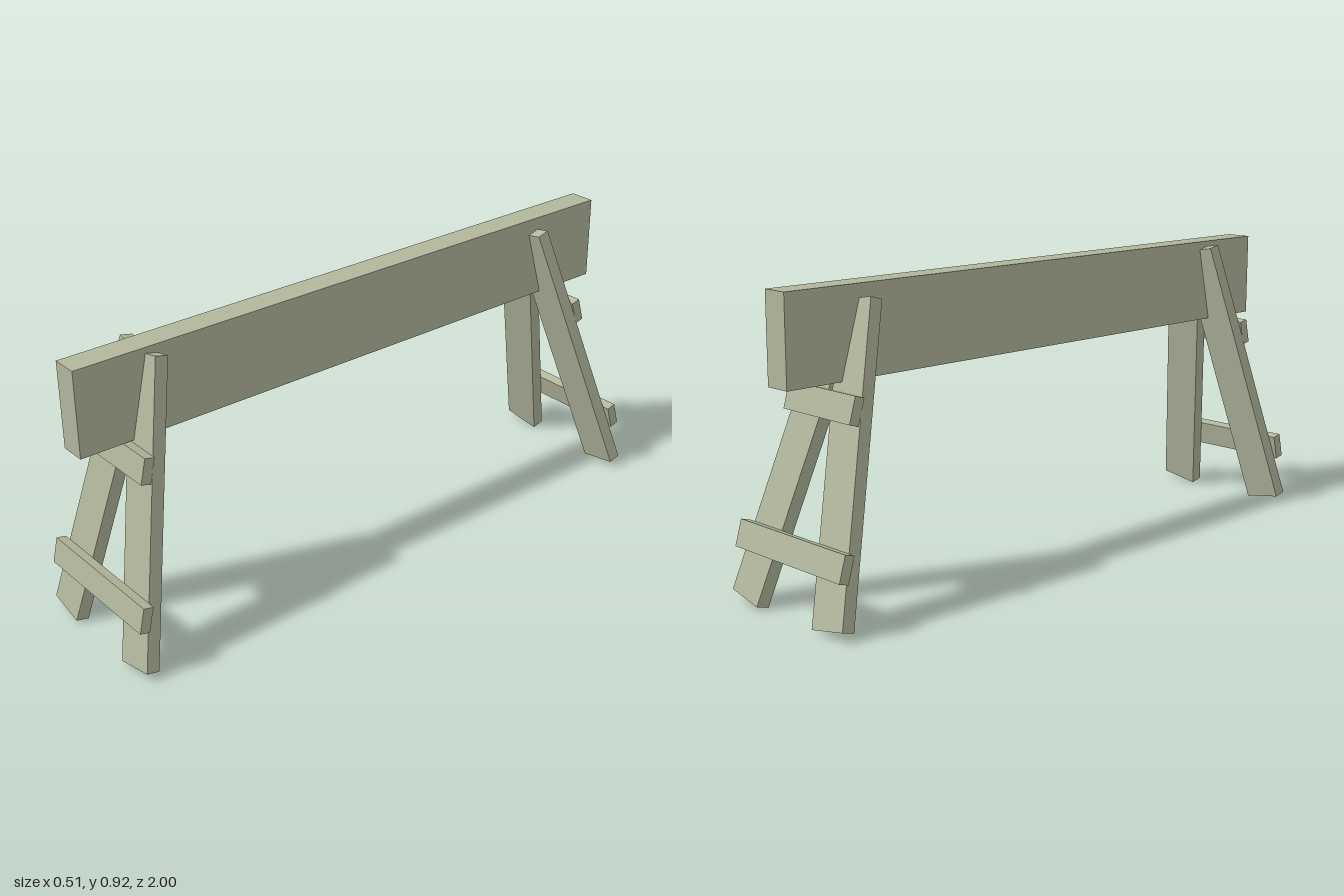
import * as THREE from 'three';

const wood = new THREE.MeshStandardMaterial({ color: 0xb2b69c });

function board(name, w, h, d, x, y, z) {
  const mesh = new THREE.Mesh(new THREE.BoxGeometry(w, h, d), wood);
  mesh.name = name;
  mesh.position.set(x, y, z);
  return mesh;
}

// A-shaped leg frame, upright in its own plane, battens on its +z face
function legFrame(name) {
  const frame = new THREE.Group();
  frame.name = name;
  for (const side of [1, -1]) {
    const leg = board(side > 0 ? 'leftLeg' : 'rightLeg', 0.128, 0.909, 0.041, side * 0.108, 0, 0);
    leg.rotation.z = side * 0.181;
    frame.add(leg);
  }
  frame.add(board('upperBatten', 0.296, 0.08, 0.032, 0, 0.146, 0.0365));
  frame.add(board('lowerBatten', 0.476, 0.08, 0.032, 0, -0.269, 0.0365));
  return frame;
}

export function createModel() {
  const model = new THREE.Group();
  model.name = 'sawhorse';

  // Long beam, a touch lower at the front
  const beam = board('beam', 0.084, 0.267, 1.99, 0, 0.787, 0.005);
  beam.rotation.x = 0.005;
  model.add(beam);

  // Front frame leans back toward the middle
  const front = legFrame('frontFrame');
  front.position.set(0, 0.455, 0.852);
  front.rotation.x = -0.22;
  model.add(front);

  // Rear frame is turned about and splayed wider
  const rear = legFrame('rearFrame');
  rear.rotation.order = 'YXZ';
  rear.position.set(0, 0.447, -0.847);
  rear.rotation.set(-0.29, Math.PI, 0);
  model.add(rear);

  return model;
}
